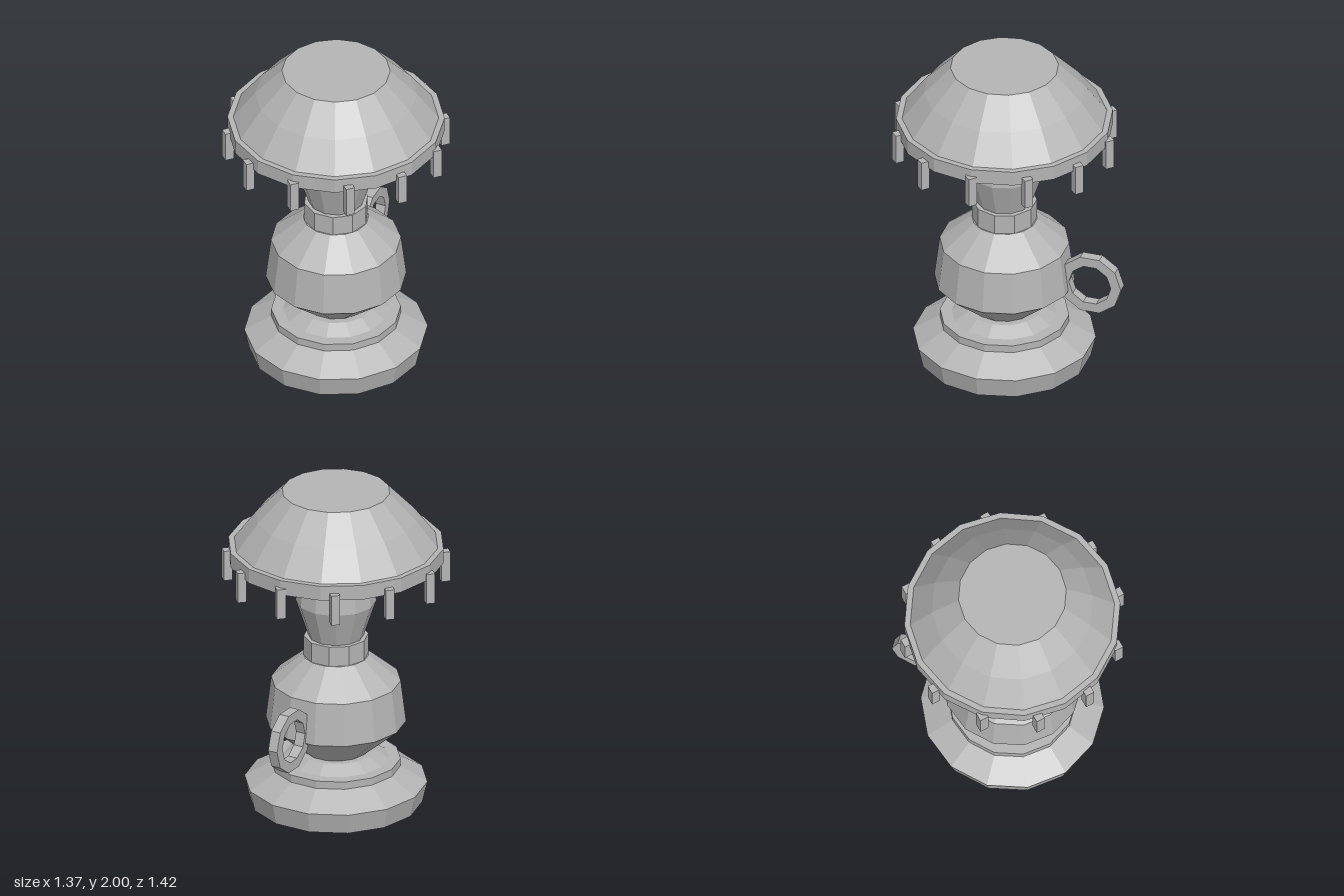
import * as THREE from 'three';

const AXIS_Z = 0.026;

export function createModel() {
  const model = new THREE.Group();
  model.name = 'tableLamp';
  const grey = new THREE.MeshStandardMaterial({ color: 0xb4b4b4, flatShading: true });
  grey.name = 'plain grey';

  const add = (name, geometry, x = 0, y = 0, z = AXIS_Z) => {
    const mesh = new THREE.Mesh(geometry, grey);
    mesh.name = name;
    mesh.position.set(x, y, z);
    model.add(mesh);
    return mesh;
  };
  // Faceted turned part from [radius, height] pairs, with a corner on the x axis
  const turned = (profile, sides, start = Math.PI / 2) =>
    new THREE.LatheGeometry(profile.map(([r, y]) => new THREE.Vector2(r, y)), sides, start);
  // Closed rectangular section for rings
  const band = (inner, outer, y0, y1) =>
    [[inner, y0], [outer, y0], [outer, y1], [inner, y1], [inner, y0]];

  // Stepped foot
  add('base', turned([[0, 0], [0.515, 0], [0.545, 0.13], [0.385, 0.228], [0.385, 0.275],
    [0.315, 0.275], [0.233, 0.325], [0, 0.325]], 14));

  // Bulbous body, collar and neck
  add('body', turned([[0, 0.32], [0.19, 0.325], [0.418, 0.52], [0.386, 0.78],
    [0.195, 0.94], [0, 0.94]], 14));
  add('collar', turned([[0, 0.94], [0.193, 0.94], [0.193, 1.065], [0, 1.065]], 10));
  add('neck', turned([[0, 1.06], [0.165, 1.065], [0.24, 1.29], [0.194, 1.66]], 12));

  // Domed shade with a hollow rim below it
  add('shade', turned([[0, 1.662], [0.61, 1.662], [0.48, 1.835], [0.322, 2], [0, 2]], 16));
  add('shadeRim', turned(band(0.575, 0.645, 1.57, 1.662), 16));

  // Square tassels hanging around the rim
  for (let i = 0; i < 12; i++) {
    const a = (i / 12) * Math.PI * 2;
    add('tassel', new THREE.CylinderGeometry(0.038, 0.038, 0.19, 4),
      Math.sin(a) * 0.646, 1.52, AXIS_Z + Math.cos(a) * 0.646);
  }

  // Ring handle on the back, standing in the y-z plane
  add('handle', turned(band(0.131, 0.194, -0.031, 0.031), 10, 0).rotateZ(Math.PI / 2),
    0, 0.585, -0.516);

  return model;
}
